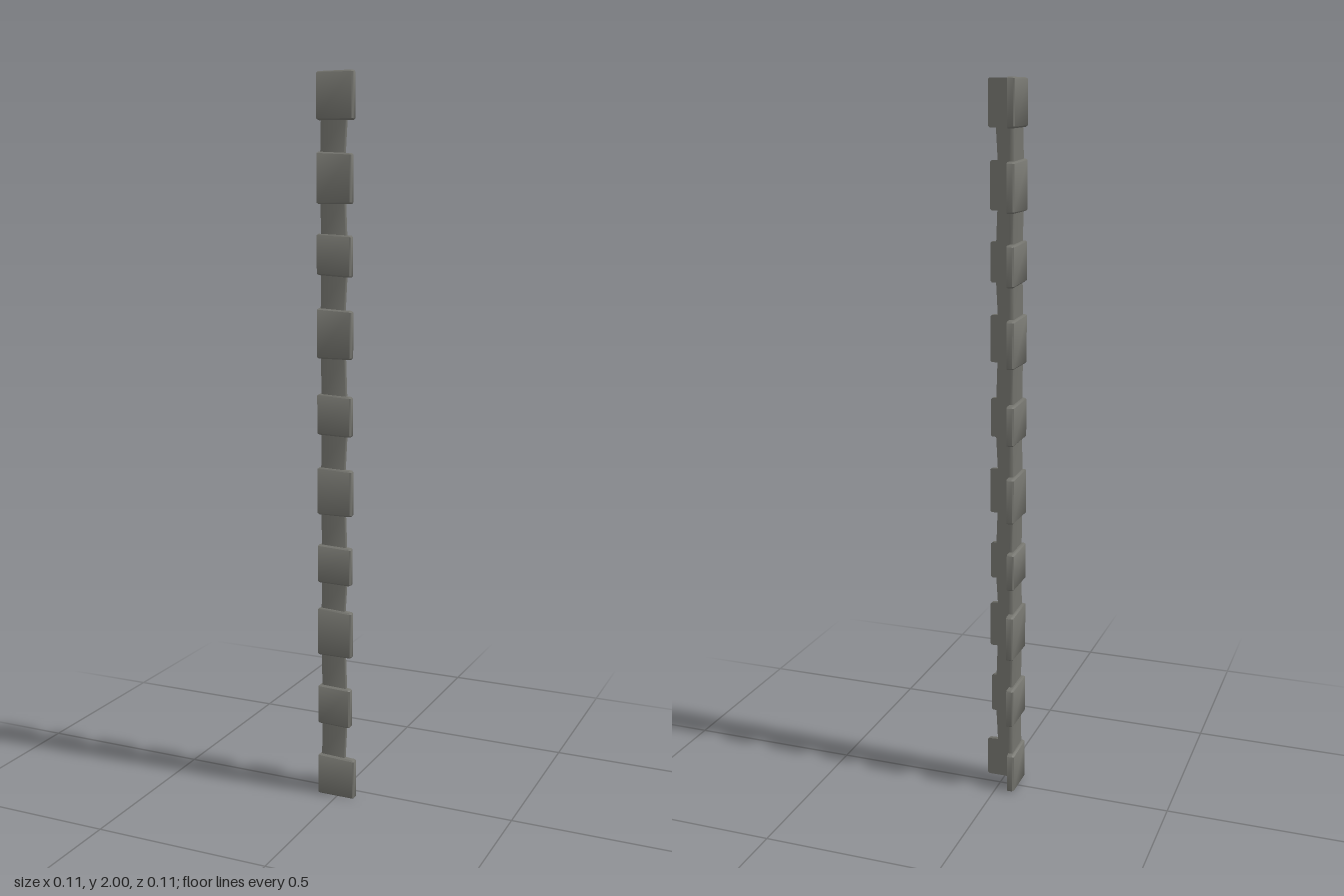
import * as THREE from 'three';
import { toCreasedNormals } from 'three/addons/utils/BufferGeometryUtils.js';

const INNER_X = -0.036, INNER_Z = 0.04;

// L-shaped outline, counterclockwise seen from above; c chamfers the arm tips
function outline(cornerX, cornerZ, tipX, tipZ, c) {
  return [
    [cornerX, cornerZ],
    [tipX - c, cornerZ], [tipX, cornerZ - c], [tipX, INNER_Z],
    [INNER_X, INNER_Z],
    [INNER_X, tipZ], [cornerX + c, tipZ], [cornerX, tipZ + c],
  ];
}

// Stack outlines into a closed solid; each level is { points, height(x, z) }
function loft(levels) {
  const n = levels[0].points.length, pos = [], idx = [];
  for (const { points, height } of levels)
    for (const [x, z] of points) pos.push(x, height(x, z), z);
  for (let l = 0; l < levels.length - 1; l++)
    for (let i = 0; i < n; i++) {
      const j = (i + 1) % n, a = l * n, b = a + n;
      idx.push(a + i, a + j, b + j, a + i, b + j, b + i);
    }
  const top = (levels.length - 1) * n;
  for (let i = 1; i < n - 1; i++) {
    idx.push(top, top + i, top + i + 1);
    idx.push(0, i + 1, i);
  }
  const g = new THREE.BufferGeometry();
  g.setAttribute('position', new THREE.Float32BufferAttribute(pos, 3));
  g.setIndex(idx);
  return toCreasedNormals(g, 0.9);
}

// Corner stones: bottom, top, tip x, tip z, drop of the lower and upper edge at the tips
const STONES = [
  [0, 0.12, 0.053, -0.046, 0, 0.005],
  [0.212, 0.326, 0.04, -0.053, 0.003, 0.004],
  [0.415, 0.552, 0.044, -0.056, 0, 0.006],
  [0.625, 0.734, 0.042, -0.05, 0.002, 0.005],
  [0.819, 0.951, 0.044, -0.054, 0, 0.004],
  [1.042, 1.154, 0.042, -0.054, 0.003, 0.005],
  [1.25, 1.386, 0.043, -0.054, 0, 0.006],
  [1.474, 1.583, 0.042, -0.056, 0.006, 0.005],
  [1.66, 1.796, 0.043, -0.056, 0, 0.006],
  [1.876, 2, 0.048, -0.052, 0.002, 0],
];

function stoneGeometry([y0, y1, tipX, tipZ, dropLow, dropHigh]) {
  const inset = 0.004;
  // distance from the corner along either arm, 0..1
  const reach = (x, z) => Math.min(1, Math.max(x + 0.056, 0.057 - z) / 0.1);
  const level = (y, drop, d) => ({
    points: outline(-0.056 + d, 0.057 - d, tipX - d, tipZ + d, 0.004),
    height: (x, z) => y - drop * reach(x, z),
  });
  return loft([
    level(y0, dropLow, inset), level(y0 + inset, dropLow, 0),
    level(y1 - inset, dropHigh, 0), level(y1, dropHigh, inset),
  ]);
}

// Narrow recessed stone between two corner stones, slightly tapered
function linkGeometry(y0, y1, lean) {
  const level = (y, s) => ({
    points: outline(-0.047 + s * 0.4, 0.05, 0.024 + s, -0.03 + s * 0.6, 0.002),
    height: () => y,
  });
  return loft([level(y0 - 0.012, -lean), level(y1 + 0.012, lean)]);
}

export function createModel() {
  const stone = new THREE.MeshStandardMaterial({ color: 0x73736d });
  stone.name = 'grey stone';
  const model = new THREE.Group();
  model.name = 'cornerStoneTrim';
  const add = (geometry, name) => {
    const mesh = new THREE.Mesh(geometry, stone);
    mesh.name = name;
    model.add(mesh);
  };
  STONES.forEach((s, i) => {
    add(stoneGeometry(s), `cornerStone${i + 1}`);
    if (i < STONES.length - 1)
      add(linkGeometry(s[1], STONES[i + 1][0], i % 2 ? -0.002 : 0.003), `recessedStone${i + 1}`);
  });
  return model;
}
